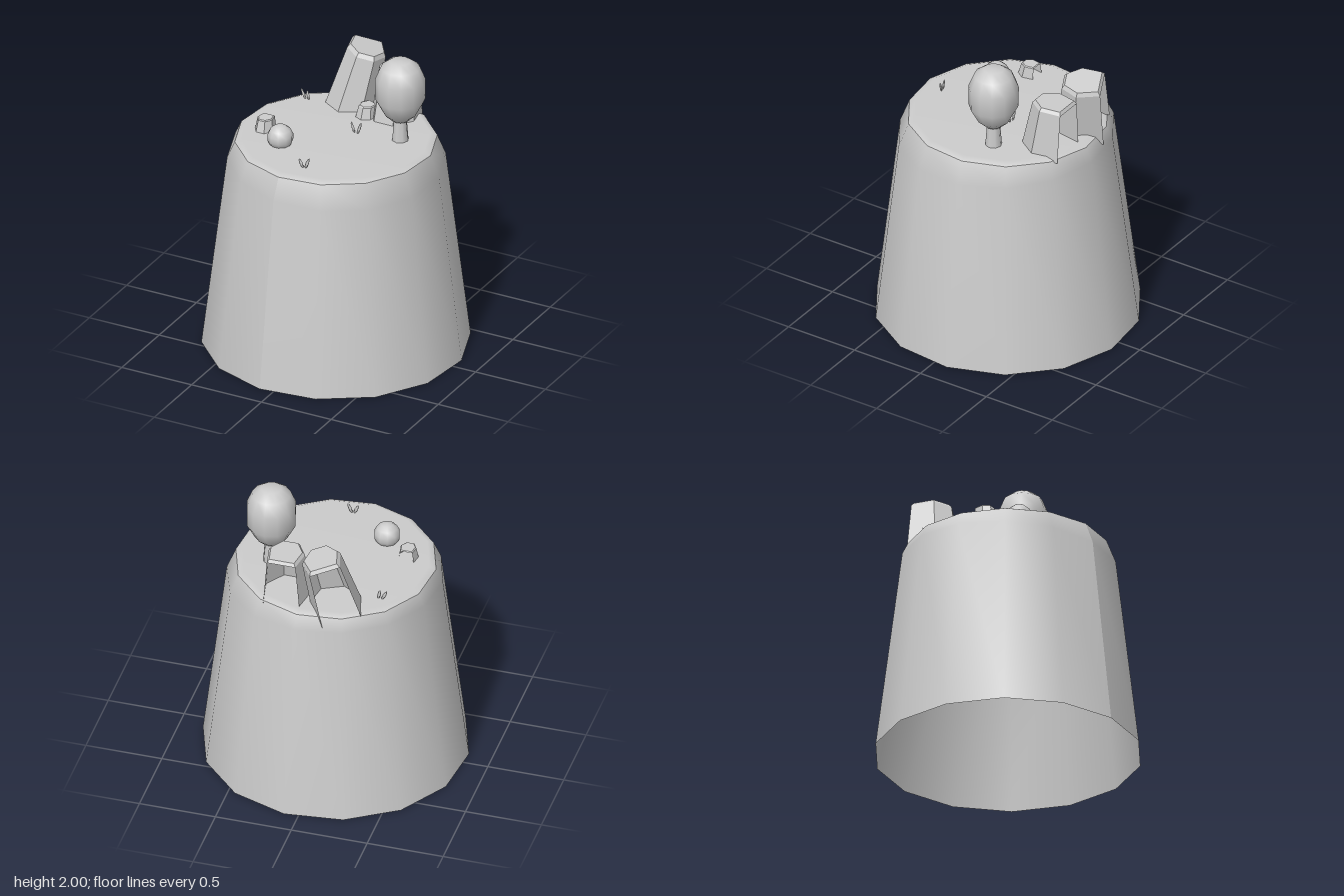
import * as THREE from 'three';

const smooth = new THREE.MeshStandardMaterial({ color: 0xcccccc, side: THREE.DoubleSide });
const faceted = new THREE.MeshStandardMaterial({ color: 0xcccccc, side: THREE.DoubleSide, flatShading: true });
const GROUND = 1.44;

function add(parent, name, geometry, material, x = 0, y = 0, z = 0) {
  const mesh = new THREE.Mesh(geometry, material);
  mesh.name = name;
  mesh.position.set(x, y, z);
  parent.add(mesh);
  return mesh;
}

function lathe(points, sides, start = 0) {
  return new THREE.LatheGeometry(points.map(([r, y]) => new THREE.Vector2(r, y)), sides, start);
}

// Six-sided tapering rock, hollow, with its back side left open
function rockGeometry(scale, height, yaw) {
  const outline = [[-0.12, -0.15], [-0.15, 0.03], [-0.07, 0.155], [0.07, 0.155], [0.155, 0.03], [0.12, -0.15]];
  const rings = [[1, 0], [0.78, 0.94], [0.68, 1]];
  const n = outline.length;
  const positions = [];
  const index = [];
  for (const [s, t] of rings) {
    for (const [x, z] of outline) {
      positions.push(x * s * scale, t * height, (z * s - 0.03 * t) * scale);
    }
  }
  for (let r = 0; r < 2; r++) {
    for (let i = 0; i < n; i++) {
      if (r === 0 && i === n - 1) continue; // open back
      const a = r * n + i, b = r * n + (i + 1) % n;
      index.push(a, b, b + n, a, b + n, a + n);
    }
  }
  for (let i = 1; i < n - 1; i++) index.push(2 * n, 2 * n + i, 2 * n + i + 1);
  const g = new THREE.BufferGeometry();
  g.setAttribute('position', new THREE.Float32BufferAttribute(positions, 3));
  g.setIndex(index);
  g.rotateY(yaw);
  g.computeVertexNormals();
  return g;
}

// Thin leaf-shaped blades fanning out from one root
function grassTuft(name, x, z, yaw, blades) {
  const tuft = new THREE.Group();
  tuft.name = name;
  tuft.position.set(x, GROUND - 0.005, z);
  tuft.rotation.y = yaw;
  for (const [offset, length, lean] of blades) {
    const g = new THREE.SphereGeometry(1, 6, 4);
    g.scale(0.011, length / 2, 0.006);
    g.translate(0, length / 2, 0);
    add(tuft, 'grassBlade', g, smooth, offset).rotation.z = lean;
  }
  return tuft;
}

export function createModel() {
  const model = new THREE.Group();
  model.name = 'islandPillar';

  // Open-bottomed tapering pillar with an uneven shoulder
  const start = -6.3 * Math.PI / 180;
  const wall = lathe([[0.853, 0], [0.693, 1.3], [0.642, 1.42]], 14, start);
  const p = wall.attributes.position;
  for (let i = 0; i < p.count; i++) {
    if (Math.abs(p.getY(i) - 1.3) > 0.01) continue;
    const tilt = (p.getX(i) + p.getZ(i)) / 0.7;
    const grow = 1 + 0.012 * tilt;
    p.setXYZ(i, p.getX(i) * grow, 1.3 - 0.03 * tilt, p.getZ(i) * grow);
  }
  wall.computeVertexNormals();
  add(model, 'pillarWall', wall, smooth);
  add(model, 'groundTop', lathe([[0.642, 1.42], [0.6, GROUND], [0, GROUND]], 14, start), smooth);

  // Rocks: name, x, y, z, scale, height, yaw, tilt about x, tilt about z
  const rocks = [
    ['tallLeaningRock', -0.15, 1.39, -0.46, 1.06, 0.44, 0.44, -0.1, -0.24],
    ['tallRock', 0.19, 1.41, -0.43, 1, 0.36, 0, -0.03, 0],
    ['smallRock', 0.04, 1.42, -0.325, 0.42, 0.1, -0.45, 0, 0],
    ['smallRock', -0.44, 1.42, 0.135, 0.43, 0.1, 0, 0, 0],
  ];
  for (const [name, x, y, z, scale, height, yaw, tiltX, tiltZ] of rocks) {
    add(model, name, rockGeometry(scale, height, yaw), faceted, x, y, z).rotation.set(tiltX, 0, tiltZ);
  }

  // Round tree
  const tree = new THREE.Group();
  tree.name = 'tree';
  tree.position.set(0.383, 0, -0.145);
  add(tree, 'treeTrunk', new THREE.CylinderGeometry(0.04, 0.055, 0.2, 8, 1, true), smooth, 0, 1.52, 0);
  add(tree, 'treeCrown', lathe([[0, 1.575], [0.055, 1.583], [0.105, 1.63], [0.158, 1.73], [0.16, 1.87],
    [0.125, 1.955], [0.065, 2], [0, 2]], 12), smooth);
  model.add(tree);

  // Bush
  add(model, 'bush', new THREE.SphereGeometry(0.085, 10, 7), smooth, -0.26, 1.487, 0.26);

  // Grass
  model.add(
    grassTuft('grassTuft', -0.39, -0.35, -0.1, [[0.01, 0.07, 0.2], [-0.015, 0.08, 0.45]]),
    grassTuft('grassTuft', 0.09, -0.09, -0.15, [[-0.005, 0.08, 0.35], [0.015, 0.095, -0.35]]),
    grassTuft('grassTuft', 0.03, 0.48, 0.15, [[-0.008, 0.07, 0.4], [0.005, 0.08, -0.35]]),
  );
  return model;
}
